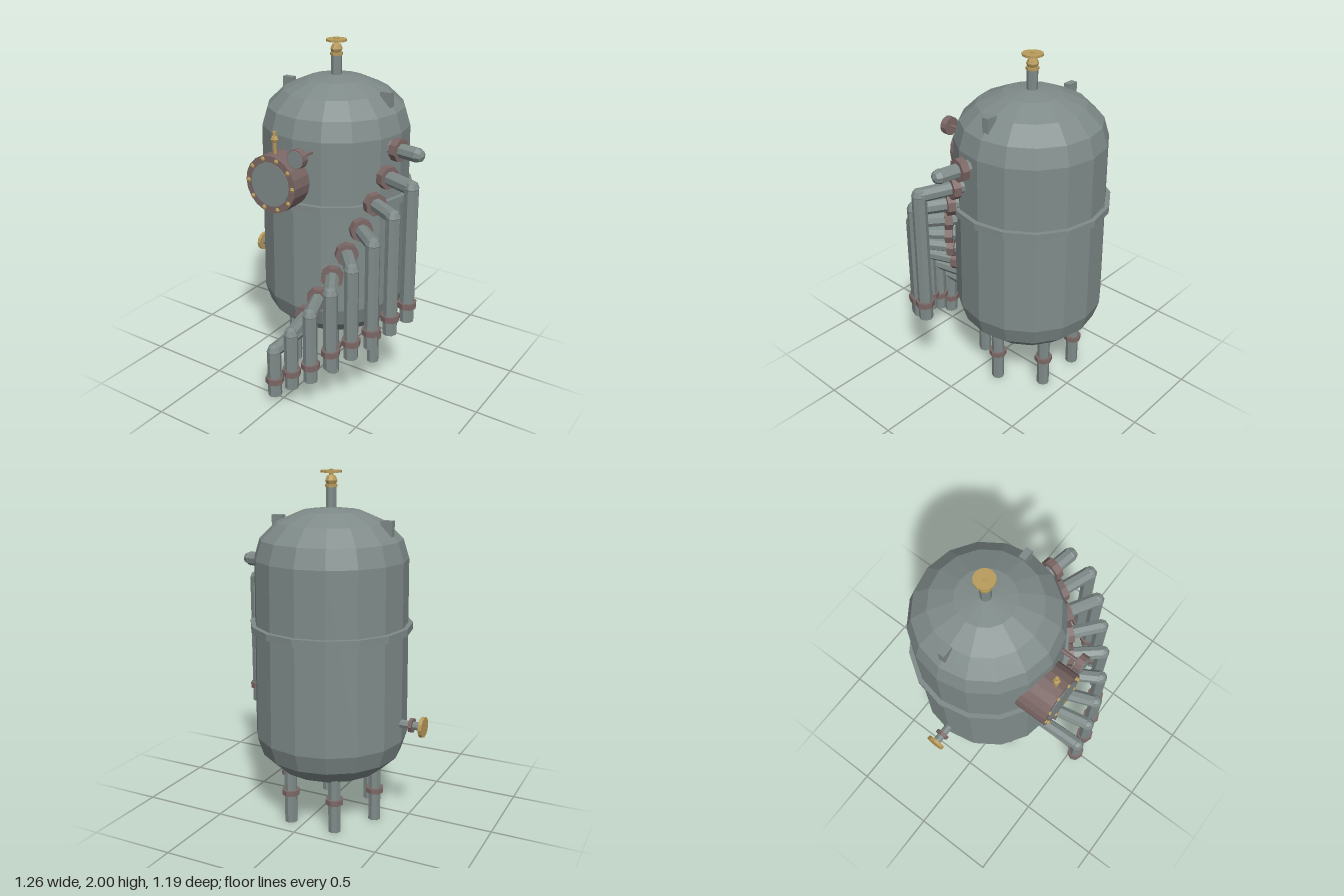
import * as THREE from 'three';

const mat = (name, color) => {
  const m = new THREE.MeshStandardMaterial({ color, flatShading: true });
  m.name = name;
  return m;
};

export function createModel() {
  const steel = mat('grey steel', 0x7f8b89);
  const iron = mat('brown iron', 0x7c6866);
  const brass = mat('brass', 0xb99c5c);
  const model = new THREE.Group();
  model.name = 'pressureTank';
  const CX = -0.055, CZ = -0.135; // tank axis
  const V = (x, y, z) => new THREE.Vector3(x, y, z);
  const UP = V(0, 1, 0);

  const add = (name, geometry, material, pos, parent = model) => {
    const m = new THREE.Mesh(geometry, material);
    m.name = name;
    if (pos) m.position.copy(pos);
    parent.add(m);
    return m;
  };
  // Round bar running from point a to point b
  const rod = (name, a, b, r, material, sides = 8, parent = model) => {
    const d = b.clone().sub(a);
    const m = add(name, new THREE.CylinderGeometry(r, r, d.length(), sides), material,
      a.clone().add(b).multiplyScalar(0.5), parent);
    m.quaternion.setFromUnitVectors(UP, d.normalize());
    return m;
  };
  // Point on a radial line from the tank axis
  const polar = (r, deg, y) => {
    const a = THREE.MathUtils.degToRad(deg);
    return V(CX + r * Math.cos(a), y, CZ + r * Math.sin(a));
  };

  // Tank shell: two flattened domes and a barely tapered wall
  const profile = [];
  for (let i = 0; i <= 4; i++) {
    const t = (i / 4) * Math.PI / 2;
    profile.push(new THREE.Vector2(0.44 * Math.sin(t), 0.505 - 0.275 * Math.cos(t)));
  }
  for (let i = 0; i <= 4; i++) {
    const t = (i / 4) * Math.PI / 2;
    profile.push(new THREE.Vector2(Math.max(0, 0.43 * Math.cos(t)), 1.52 + 0.28 * Math.sin(t)));
  }
  add('tankShell', new THREE.LatheGeometry(profile, 16), steel, V(CX, 0, CZ));
  add('tankBand', new THREE.CylinderGeometry(0.46, 0.46, 0.04, 16), steel, V(CX, 1.14, CZ));

  // Lifting lugs
  for (const s of [-1, 1]) {
    add('liftingLug', new THREE.BoxGeometry(0.066, 0.1, 0.04), steel, V(CX + s * 0.333, 1.69, CZ));
  }

  // Six legs with collars
  for (let i = 0; i < 6; i++) {
    rod('leg', polar(0.28, i * 60, 0), polar(0.28, i * 60, 0.4), 0.037, steel);
    rod('legCollar', polar(0.28, i * 60, 0.17), polar(0.28, i * 60, 0.2), 0.052, iron);
  }

  // Top valve
  const valve = new THREE.Group();
  valve.name = 'topValve';
  valve.position.set(CX, 0, CZ);
  model.add(valve);
  rod('valvePipe', V(0, 1.76, 0), V(0, 1.905, 0), 0.031, steel, 8, valve);
  rod('valveSeat', V(0, 1.905, 0), V(0, 1.92, 0), 0.036, brass, 8, valve);
  add('valveBody', new THREE.SphereGeometry(0.035, 8, 4), brass, V(0, 1.94, 0), valve);
  rod('valveStem', V(0, 1.94, 0), V(0, 1.998, 0), 0.012, brass, 6, valve);
  rod('valveWheel', V(0, 1.982, 0), V(0, 1.994, 0), 0.059, brass, 12, valve);
  rod('valveNut', V(0, 1.99, 0), V(0, 2, 0), 0.013, brass, 6, valve);

  // Side drain
  rod('drainPipe', V(-0.46, 0.615, CZ), V(-0.615, 0.615, CZ), 0.025, steel);
  rod('drainCollar', V(-0.545, 0.615, CZ), V(-0.565, 0.615, CZ), 0.043, iron);
  rod('drainWheel', V(-0.61, 0.615, CZ), V(-0.63, 0.615, CZ), 0.058, brass, 12);

  // Front hatch with bolts and a vent
  const HX = -0.12, HY = 1.285;
  rod('hatchBody', V(HX, HY, 0.12), V(HX, HY, 0.415), 0.165, iron, 20);
  rod('hatchCover', V(HX, HY, 0.414), V(HX, HY, 0.419), 0.126, steel, 20);
  for (let i = 0; i < 10; i++) {
    const a = i * Math.PI / 5;
    add('hatchBolt', new THREE.SphereGeometry(0.015, 6, 4), brass,
      V(HX + 0.147 * Math.cos(a), HY + 0.147 * Math.sin(a), 0.412));
  }
  rod('ventStem', V(HX, 1.44, 0.365), V(HX, 1.53, 0.365), 0.01, brass, 6);
  add('ventBody', new THREE.SphereGeometry(0.023, 6, 4), brass, V(HX, 1.53, 0.365));
  rod('ventTip', V(HX, 1.53, 0.365), V(HX, 1.572, 0.365), 0.011, brass, 6);

  // Round gauge beside the hatch
  rod('gaugeStalk', V(0.055, 1.463, 0.2), V(0.055, 1.463, 0.385), 0.012, iron, 6);
  rod('gaugeCase', V(0.055, 1.463, 0.38), V(0.055, 1.463, 0.422), 0.054, iron, 12);
  rod('gaugeFace', V(0.055, 1.463, 0.421), V(0.055, 1.463, 0.425), 0.049, steel, 12);

  // Spiral of outlet pipes; the highest one is a plain stub
  const bottoms = [0, 0.52, 0.47, 0.405, 0.35, 0.285, 0.19, 0.125, 0.04];
  bottoms.forEach((bottom, i) => {
    const deg = 10.8 + i * 9.65;
    const y = 1.455 - i * 0.1405;
    const reach = i === 0 ? 0.605 : 0.675;
    const seat = i === 8 ? 0.36 : i === 7 ? 0.455 : 0.475;
    const pipe = new THREE.Group();
    pipe.name = 'outletPipe';
    model.add(pipe);
    const end = polar(reach, deg, y);
    const run = rod('outletRun', polar(0.25, deg, y), end, 0.041, steel, 8, pipe);
    rod('outletFlange', polar(seat - 0.022, deg, y), polar(seat + 0.022, deg, y), 0.066, iron, 8, pipe);
    const elbow = add('outletElbow', new THREE.SphereGeometry(0.043, 8, 4), steel, end, pipe);
    if (i === 0) {
      elbow.quaternion.copy(run.quaternion);
      return;
    }
    rod('downPipe', polar(reach, deg, bottom), end, 0.041, steel, 8, pipe);
    rod('downPipeCollar', polar(reach, deg, bottom + 0.085), polar(reach, deg, bottom + 0.12),
      0.054, iron, 8, pipe);
  });

  return model;
}
